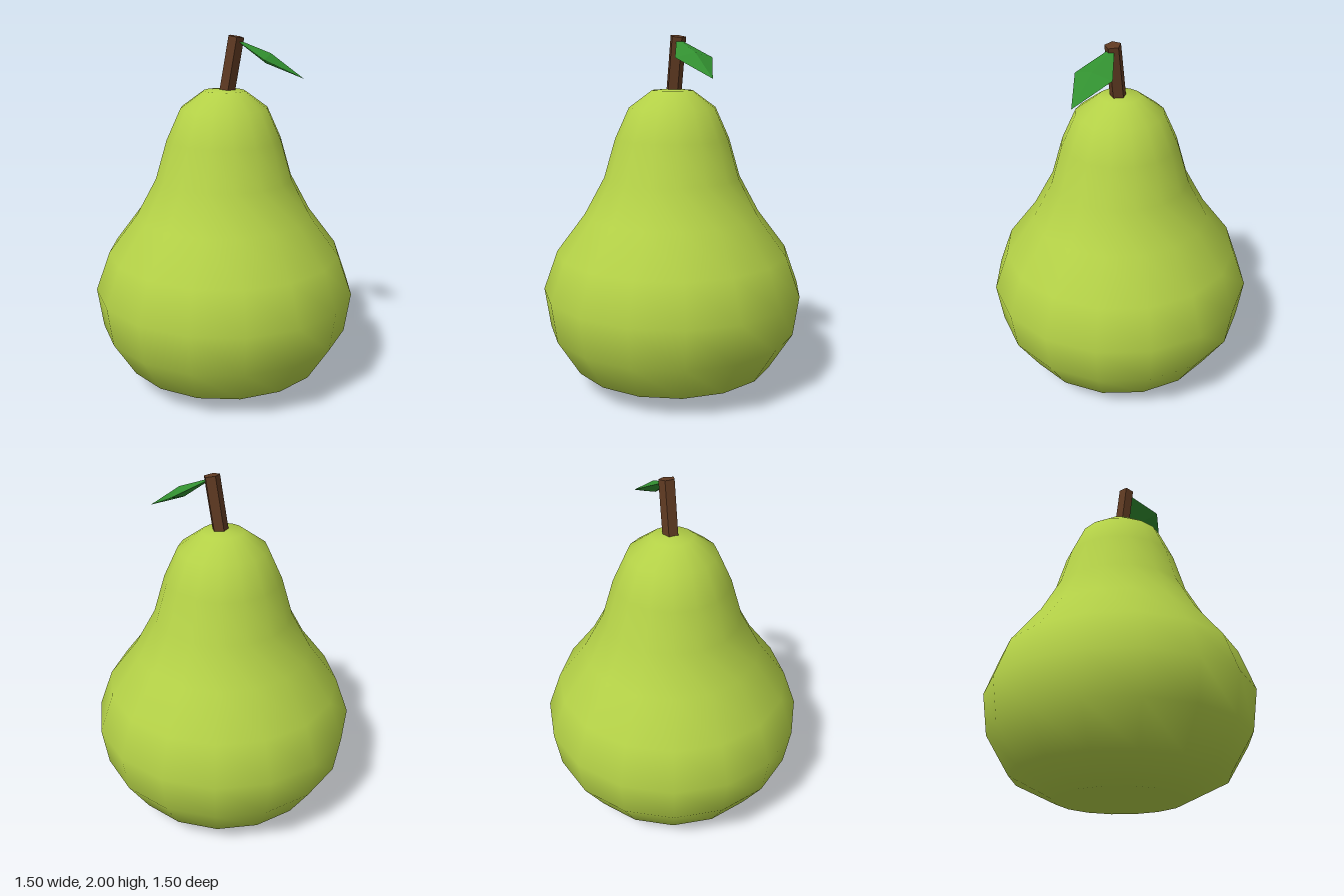
import * as THREE from 'three';

const skin = new THREE.MeshStandardMaterial({ name: 'pear green', color: 0xb4d147 });
const bark = new THREE.MeshStandardMaterial({ name: 'stem brown', color: 0x5f3a22 });
const foliage = new THREE.MeshStandardMaterial({ name: 'leaf green', color: 0x329030 });

function addMesh(group, name, geometry, material) {
  const mesh = new THREE.Mesh(geometry, material);
  mesh.name = name;
  group.add(mesh);
  return mesh;
}

// Unshared vertices give each facet its own normal
function faceted(geometry) {
  const flat = geometry.index ? geometry.toNonIndexed() : geometry;
  flat.computeVertexNormals();
  return flat;
}

export function createModel() {
  const pear = new THREE.Group();
  pear.name = 'pear';

  // Fruit: smooth 16-sided lathe, bottom to top
  const profile = [
    [0, 0], [0.355, 0.005], [0.59, 0.12], [0.718, 0.33], [0.75, 0.56], [0.668, 0.785],
    [0.505, 1.0], [0.39, 1.21], [0.325, 1.43], [0.245, 1.605], [0.115, 1.7], [0, 1.71],
  ].map(([r, y]) => new THREE.Vector2(r, y));
  addMesh(pear, 'fruit', new THREE.LatheGeometry(profile, 16), skin);

  // Stem: five-sided, one edge facing the leaf, leaning toward +x
  const stemGeometry = new THREE.CylinderGeometry(0.045, 0.045, 0.36, 5);
  stemGeometry.rotateY(Math.PI / 2);
  const stem = addMesh(pear, 'stem', faceted(stemGeometry), bark);
  stem.position.set(0.036, 1.815, 0);
  stem.rotation.z = -0.17;

  // Leaf: stretched octahedron sloping down from the stem
  const leafGeometry = new THREE.OctahedronGeometry(1, 0);
  leafGeometry.scale(0.222, 0.03, 0.113);
  const leaf = addMesh(pear, 'leaf', faceted(leafGeometry), foliage);
  leaf.position.set(0.245, 1.88, 0);
  leaf.rotation.z = -0.49;

  return pear;
}
